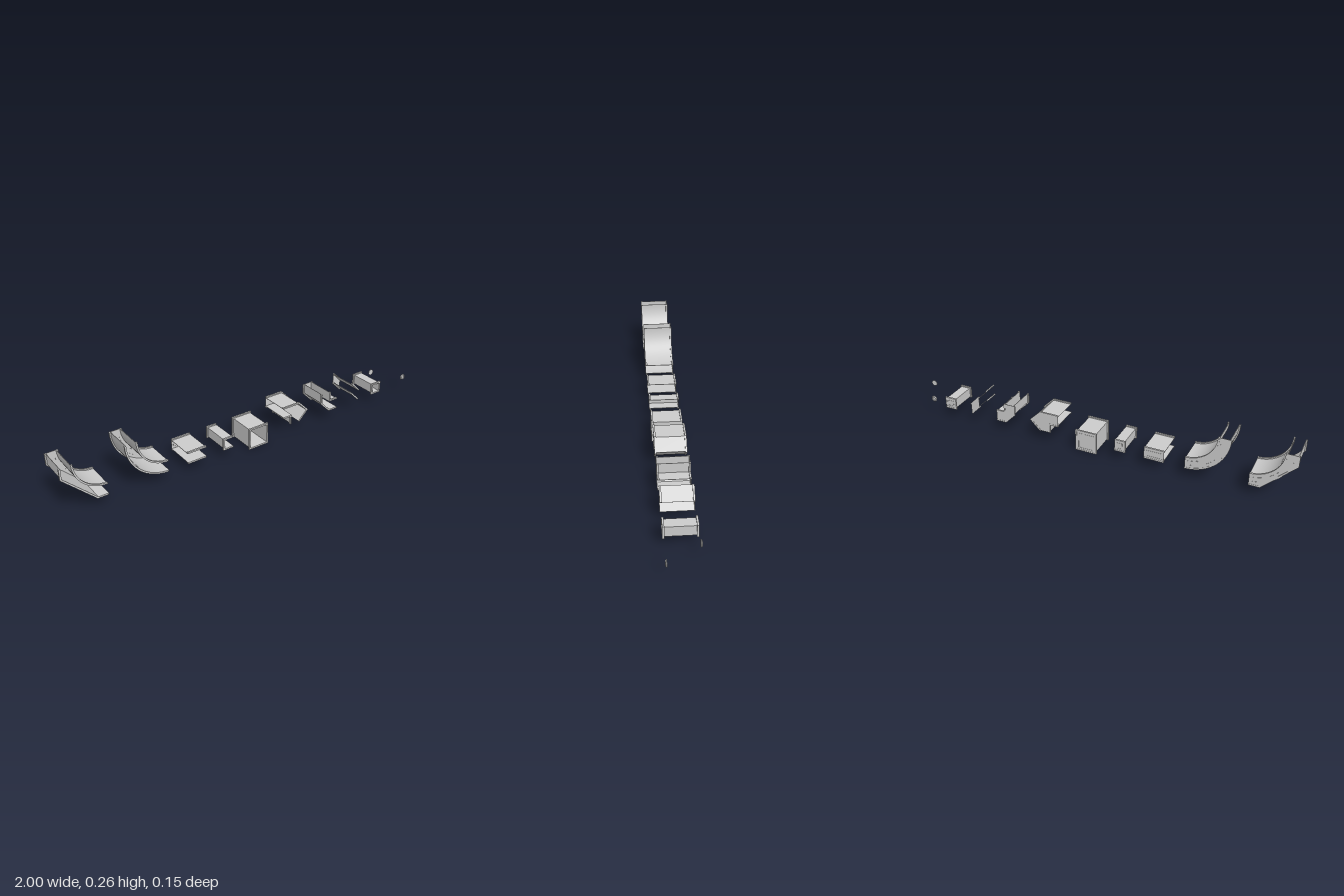
import * as THREE from 'three';
import { toCreasedNormals } from 'three/addons/utils/BufferGeometryUtils.js';

const material = new THREE.MeshStandardMaterial({ color: 0xcccccc, side: THREE.DoubleSide });
const BACK = -0.072, FRONT = 0.0775, LIP = 0.009;

// Mitred offset of a clockwise path; positive distances go outwards
function offset(pts, d, closed) {
  const n = pts.length;
  const normal = (a, b) => new THREE.Vector2(a.y - b.y, b.x - a.x).normalize();
  return pts.map((p, i) => {
    const prev = closed || i > 0 ? pts[(i + n - 1) % n] : null;
    const next = closed || i < n - 1 ? pts[(i + 1) % n] : null;
    const n1 = prev ? normal(prev, p) : normal(p, next);
    const n2 = next ? normal(p, next) : n1;
    const m = n1.clone().add(n2);
    return p.clone().addScaledVector(m, (2 * d) / m.lengthSq());
  });
}

function extrude(name, shape, z0, z1) {
  const geo = new THREE.ExtrudeGeometry(shape, { depth: z1 - z0, bevelEnabled: false }).translate(0, 0, z0);
  const mesh = new THREE.Mesh(toCreasedNormals(geo, 0.4), material);
  mesh.name = name;
  return mesh;
}

// Band between two offsets of a path, extruded along z
function band(name, pts, d0, d1, z0, z1, closed) {
  const inner = offset(pts, d0, closed), outer = offset(pts, d1, closed);
  const shape = new THREE.Shape(closed ? outer : [...outer, ...inner.reverse()]);
  if (closed) shape.holes.push(new THREE.Path(inner));
  return extrude(name, shape, z0, z1);
}

const path = (...xy) => xy.map(([x, y]) => new THREE.Vector2(x, y));

// Arc around (cx, cy) between two angles in degrees
function arc(cx, cy, r, a0, a1, steps = 14) {
  return Array.from({ length: steps + 1 }, (_, i) => {
    const a = THREE.MathUtils.degToRad(a0 + ((a1 - a0) * i) / steps);
    return new THREE.Vector2(cx + r * Math.cos(a), cy + r * Math.sin(a));
  });
}

// One duct: thin skins with end lips, a back wall and an open front
function duct(name, strips, { closed = false, panel = false } = {}) {
  const g = new THREE.Group();
  g.name = name;
  for (const s of strips) {
    g.add(band('skin', s, -0.002, 0, BACK, FRONT, closed));
    g.add(band('backLip', s, 0, 0.006, BACK, BACK + LIP, closed));
    g.add(band('frontLip', s, 0, 0.006, FRONT - LIP, FRONT, closed));
  }
  const outline = strips.flat();
  g.add(extrude('backWall', new THREE.Shape(outline), BACK + 0.001, BACK + 0.003));
  if (panel) g.add(band('panelRim', outline, -0.012, -0.009, BACK, BACK + 0.004, true));
  return g;
}

// Raised dashes following a bend on the back wall
function dashes(cx, cy) {
  const g = new THREE.Group();
  g.name = 'wallDashes';
  for (const r of [0.163, 0.185]) {
    for (const a of [192, 220, 248]) {
      g.add(band('dash', arc(cx, cy, r, a, a + 17, 4), -0.0015, 0.0015, BACK, BACK + 0.004, false));
    }
  }
  return g;
}

const rect = (x0, x1, y0, y1) => path([x0, y0], [x0, y1], [x1, y1], [x1, y0]);

// Round cap with a tapered rim, facing dir along z
function cap(name, x, z, dir) {
  const profile = path([0, 0], [0.016, 0], [0.016, 0.003], [0.012, 0.007], [0.009, 0.007], [0.008, 0.005], [0, 0.005]);
  const geo = toCreasedNormals(new THREE.LatheGeometry(profile, 24), 0.5);
  const mesh = new THREE.Mesh(geo, material);
  mesh.name = name;
  mesh.rotation.x = (dir * Math.PI) / 2;
  mesh.position.set(x, 0.085, z);
  return mesh;
}

export function createModel() {
  const model = new THREE.Group();
  model.name = 'ductKit';
  const lo = 0.057, mid = 0.107, hi = 0.157, top = 0.258;

  // Large bends: one with a chamfered outside, one round
  const chamferBend = duct('chamferedBend', [
    path([-0.795, lo], [-0.845, lo], [-0.994, 0.206], [-0.994, top]),
    arc(-0.795, top, 0.15, 180, 270),
  ]);
  chamferBend.add(dashes(-0.795, top));
  const roundBend = duct('roundBend', [
    arc(-0.496, top, 0.2, 270, 180),
    arc(-0.496, top, 0.15, 180, 270),
  ]);
  roundBend.add(dashes(-0.496, top));
  model.add(chamferBend, roundBend);

  // Straight run, end piece and large square box
  model.add(duct('straightDuct', [
    path([-0.295, lo], [-0.395, lo]),
    path([-0.395, mid], [-0.295, mid]),
  ], { panel: true }));
  model.add(duct('endDuct', [path([-0.145, lo], [-0.195, lo], [-0.195, mid], [-0.145, mid])], { panel: true }));
  model.add(duct('largeBox', [rect(-0.045, 0.055, 0.006, mid)], { closed: true, panel: true }));

  // Pointed elbow, tight corner and diagonal run
  model.add(duct('pointedElbow', [
    path([0.155, hi], [0.252, hi], [0.302, mid], [0.252, lo]),
    path([0.205, lo], [0.205, mid], [0.155, mid]),
  ]));
  model.add(duct('tightCorner', [
    path([0.503, lo], [0.453, lo], [0.403, mid], [0.403, hi]),
    path([0.453, hi], [0.453, mid], [0.503, mid]),
  ]));
  model.add(duct('diagonalDuct', [
    path([0.604, hi], [0.654, mid]),
    path([0.654, lo], [0.604, mid]),
  ]));

  // Small closed box and the two loose caps
  model.add(duct('smallBox', [rect(0.755, 0.805, lo, mid)], { closed: true, panel: true }));
  model.add(cap('backCap', 0.884, -0.069, -1));
  model.add(cap('frontCap', 0.984, 0.0705, 1));
  return model;
}
